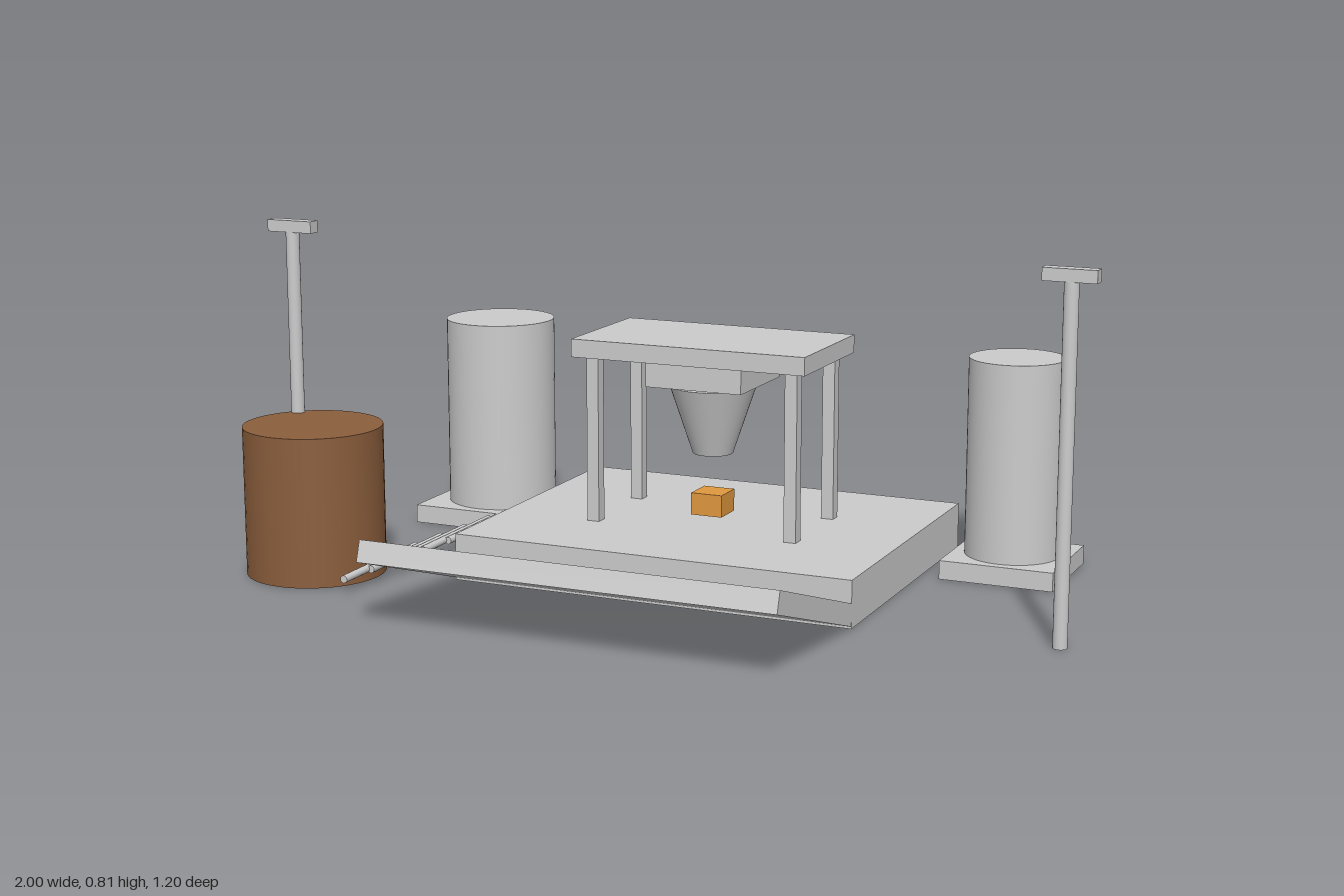
import * as THREE from 'three';

const grey = new THREE.MeshStandardMaterial({ color: 0xcccccc });
const brown = new THREE.MeshStandardMaterial({ color: 0x8b5e3c });
const orange = new THREE.MeshStandardMaterial({ color: 0xe0993f });

export function createModel() {
  const model = new THREE.Group();
  model.name = 'processingStation';

  const add = (name, geometry, x, y, z, material = grey) => {
    const mesh = new THREE.Mesh(geometry, material);
    mesh.name = name;
    mesh.position.set(x, y, z);
    model.add(mesh);
    return mesh;
  };
  // Box given by its centre in x and z, and its bottom and top heights
  const box = (name, w, d, x, z, y0, y1, material) =>
    add(name, new THREE.BoxGeometry(w, y1 - y0, d), x, (y0 + y1) / 2, z, material);
  // Upright cylinder or cone between two heights
  const drum = (name, rTop, rBottom, x, z, y0, y1, material) =>
    add(name, new THREE.CylinderGeometry(rTop, rBottom, y1 - y0, 48), x, (y0 + y1) / 2, z, material);

  // Platform and the raised loading ramp
  box('platform', 0.98, 0.76, 0, -0.22, 0, 0.11);
  const ramp = add('ramp', new THREE.BoxGeometry(0.98, 0.05, 0.46), 0, 0.1025, 0.374);
  ramp.rotation.x = -0.32;

  // Press frame: four legs and a top plate
  const pressZ = -0.217;
  for (const sx of [-1, 1])
    for (const sz of [-1, 1])
      box('frameLeg', 0.03, 0.03, sx * 0.25, pressZ + sz * 0.122, 0.11, 0.507);
  box('frameTop', 0.585, 0.325, 0, pressZ, 0.507, 0.55);

  // Press head, tapered nozzle and the workpiece hanging beneath it
  box('pressHead', 0.24, 0.24, 0, pressZ, 0.442, 0.507);
  drum('nozzle', 0.103, 0.048, 0, pressZ, 0.272, 0.435);
  box('workpiece', 0.078, 0.078, 0, pressZ, 0.125, 0.178, orange);

  // Tanks on square plinths
  for (const [x, plinth, radius] of [[-0.682, 0.325, 0.136], [0.675, 0.273, 0.113]]) {
    box('tankPlinth', plinth, plinth, x, -0.438, 0, 0.045);
    drum('tank', radius, radius, x, -0.438, 0.045, 0.515);
  }

  // Barrel
  drum('barrel', 0.164, 0.164, -0.833, 0.218, 0, 0.352, brown);

  // Lamp posts on both sides
  for (const side of [-1, 1]) {
    drum('lampPost', 0.016, 0.016, side * 0.942, 0.11, 0, 0.787);
    box('lampHead', 0.118, 0.032, side * 0.941, 0.11, 0.787, 0.815);
  }

  // Staggered pipe of overlapping rods beside the barrel
  for (let i = 0; i < 5; i++) {
    const rod = add('pipeSection', new THREE.CylinderGeometry(0.009, 0.009, 0.33, 16),
      -0.66 + i * 0.012, 0.037, 0.215 - i * 0.1);
    rod.rotation.x = Math.PI / 2;
  }

  return model;
}
